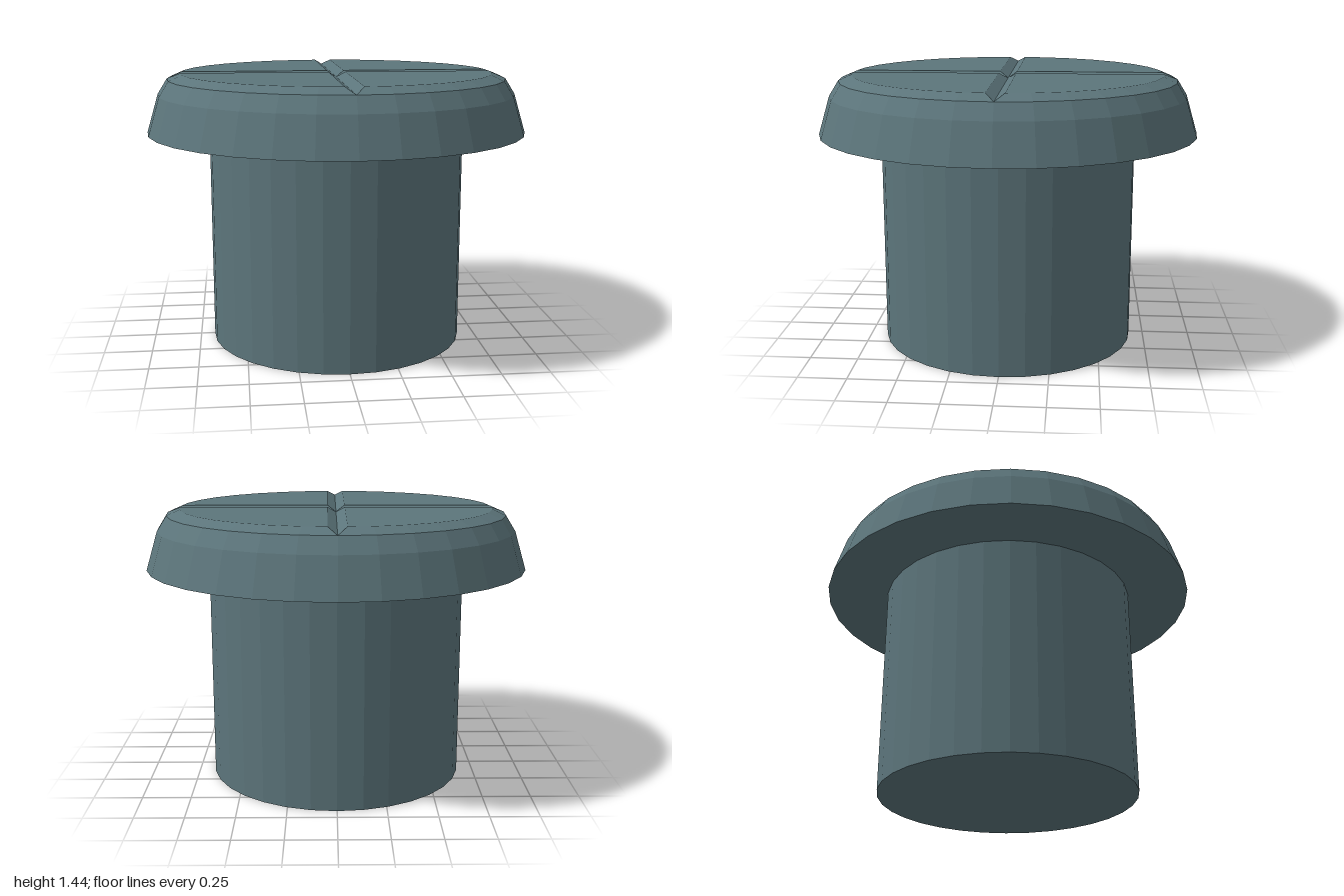
import * as THREE from 'three';

const SIDES = 32;
const PER_QUARTER = SIDES / 4;
const SHAFT_R = 0.675;
const HEAD_Y = 1.13;
const TOP_Y = 1.44;
const SLOT_Y = 1.41;
const SLOT_HALF = 0.045;

// Head section from the underside to the flat top: [radius, y]
const PROFILE = [[SHAFT_R, HEAD_Y], [1, HEAD_Y], [0.94, 1.33], [0.89, SLOT_Y], [0.82, TOP_Y]];

function ringPoint([r, y], i) {
  const a = (i / SIDES) * Math.PI * 2;
  return new THREE.Vector3(r * Math.cos(a), y, r * Math.sin(a));
}

// One quarter of the head: faceted rim, a quarter of the flat top and two slot walls
function quarterHeadGeometry() {
  const pos = [];
  const tri = (...pts) => pts.forEach((p) => pos.push(p.x, p.y, p.z));
  const quad = (a, b, c, d) => { tri(a, b, c); tri(a, c, d); };

  const rings = PROFILE.map((p) =>
    Array.from({ length: PER_QUARTER + 1 }, (_, i) => ringPoint(p, i)));
  const top = rings[rings.length - 1];
  const outer = rings[rings.length - 2];

  // Slide the end points of the top edge along their chords to open the slots
  const t = SLOT_HALF / top[1].z;
  top[0].lerp(top[1], t);
  top[PER_QUARTER].lerp(top[PER_QUARTER - 1], t);

  // Underside and rim
  for (let k = 0; k < rings.length - 1; k++) {
    for (let i = 0; i < PER_QUARTER; i++) {
      quad(rings[k][i], rings[k + 1][i], rings[k + 1][i + 1], rings[k][i + 1]);
    }
  }

  // Flat top
  const corner = new THREE.Vector3(SLOT_HALF, TOP_Y, SLOT_HALF);
  for (let i = 0; i < PER_QUARTER; i++) tri(corner, top[i + 1], top[i]);

  // Sloping walls of the V-shaped slots
  const centre = new THREE.Vector3(0, SLOT_Y, 0);
  quad(centre, corner, top[0], outer[0]);
  quad(centre, outer[PER_QUARTER], top[PER_QUARTER], corner);

  const geo = new THREE.BufferGeometry();
  geo.setAttribute('position', new THREE.Float32BufferAttribute(pos, 3));
  geo.computeVertexNormals();
  return geo;
}

export function createModel() {
  const model = new THREE.Group();
  model.name = 'slottedPlug';

  const steel = new THREE.MeshStandardMaterial({ color: 0x5c757b });
  steel.name = 'blueGreySteel';
  steel.flatShading = true;

  // Shaft
  const shaft = new THREE.Mesh(
    new THREE.CylinderGeometry(SHAFT_R, SHAFT_R, HEAD_Y, SIDES), steel);
  shaft.name = 'shaft';
  shaft.position.y = HEAD_Y / 2;
  model.add(shaft);

  // Head with crossed slots, from four equal quarters
  const head = new THREE.Group();
  head.name = 'head';
  const quarter = quarterHeadGeometry();
  for (let i = 0; i < 4; i++) {
    const mesh = new THREE.Mesh(quarter, steel);
    mesh.name = `headQuarter${i + 1}`;
    mesh.rotation.y = (i * Math.PI) / 2;
    head.add(mesh);
  }
  model.add(head);

  return model;
}
